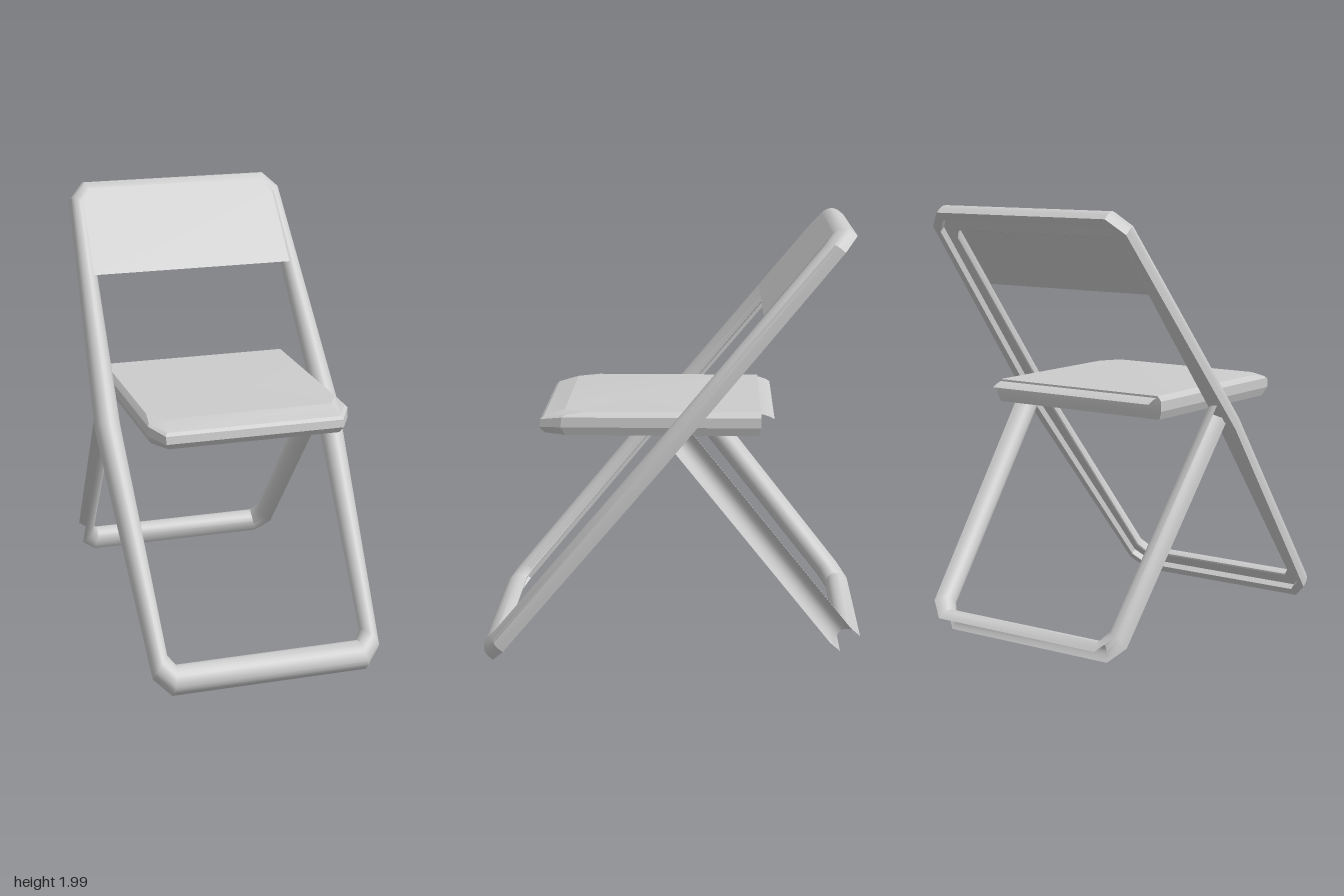
import * as THREE from 'three';
import { toCreasedNormals } from 'three/addons/utils/BufferGeometryUtils.js';

const material = new THREE.MeshStandardMaterial({ color: 0xcccccc, side: THREE.DoubleSide });

// Skin a list of cross-sections ([x, y, z] points) into a surface
function loft(name, rings, { closeRing = false, closePath = false, crease = 0.6 } = {}) {
  const n = rings[0].length, m = rings.length, index = [];
  for (let i = 0; i < (closePath ? m : m - 1); i++) {
    for (let j = 0; j < (closeRing ? n : n - 1); j++) {
      const k = (j + 1) % n, i2 = (i + 1) % m;
      const a = i * n + j, b = i * n + k, c = i2 * n + k, d = i2 * n + j;
      index.push(a, b, c, a, c, d);
    }
  }
  const g = new THREE.BufferGeometry();
  g.setAttribute('position', new THREE.Float32BufferAttribute(rings.flat(2), 3));
  g.setIndex(index);
  const mesh = new THREE.Mesh(toCreasedNormals(g, crease), material);
  mesh.name = name;
  return mesh;
}

// Extend a right-hand path with its mirror image
const mirrored = (half) => [...half, ...half.slice().reverse().map(([x, y]) => [-x, y])];

// Sweep a profile of [s, v] between an outer (s = 0) and inner (s = 1) path; v is depth
function sweep(outer, inner, profile) {
  return outer.map(([ox, oy], i) => profile.map(([s, v]) => [
    THREE.MathUtils.lerp(ox, inner[i][0], s),
    THREE.MathUtils.lerp(oy, inner[i][1], s),
    v,
  ]));
}

// Six-sided seat outline with clipped front corners
function seatRing(w, front, back, y, yFront = y) {
  return [
    [-w, y, back], [w, y, back], [w, y, front - 0.1],
    [w - 0.055, yFront, front], [-w + 0.055, yFront, front], [-w, y, front - 0.1],
  ];
}

export function createModel() {
  const model = new THREE.Group();
  model.name = 'foldingChair';

  // Main frame: slanted closed loop, rounded in front, stepped recess behind
  const mainFrame = new THREE.Group();
  mainFrame.name = 'mainFrame';
  mainFrame.position.set(0, 1.005, 0.04);
  mainFrame.rotation.x = -0.694;
  const mainOuter = mirrored([[0.46, 1.275], [0.53, 1.19], [0.595, 0], [0.53, -1.19], [0.455, -1.275]]);
  const mainInner = mirrored([[0.425, 1.145], [0.455, 1.1], [0.48, 0], [0.455, -1.1], [0.425, -1.145]]);
  const mainProfile = [[0.35, -0.043], [0, -0.043]];
  for (let i = 0; i <= 12; i++) {
    const a = (i / 12) * Math.PI;
    mainProfile.push([0.5 - 0.5 * Math.cos(a), -0.015 + 0.06 * Math.sin(a)]);
  }
  mainProfile.push([0.95, -0.02], [0.35, -0.012]);
  mainFrame.add(loft('frameTube', sweep(mainOuter, mainInner, mainProfile),
    { closeRing: true, closePath: true }));

  // Backrest: flat sheet over the upper frame
  const panel = new THREE.Shape(
    [[-0.49, 0.75], [0.49, 0.75], [0.48, 1.14], [0.44, 1.215], [-0.44, 1.215], [-0.48, 1.14]]
      .map(([x, y]) => new THREE.Vector2(x, y)));
  const backrest = new THREE.Mesh(new THREE.ShapeGeometry(panel), material);
  backrest.name = 'backrest';
  backrest.position.z = 0.046;
  mainFrame.add(backrest);
  model.add(mainFrame);

  // Rear leg: U-shaped channel, open to the outside
  const rearLeg = new THREE.Group();
  rearLeg.name = 'rearLeg';
  rearLeg.position.set(0, 1.06, -0.05);
  rearLeg.rotation.x = 0.668;
  const rearOuter = mirrored([[0.56, 0], [0.51, -1.16], [0.44, -1.24]]);
  const rearInner = mirrored([[0.485, 0], [0.45, -1.12], [0.42, -1.17]]);
  const rearProfile = [];
  for (let i = 0; i <= 14; i++) {
    const a = (i / 14) * Math.PI;
    rearProfile.push([Math.sin(a), 0.058 * Math.cos(a)]);
  }
  const rearRings = sweep(rearOuter, rearInner, rearProfile);
  rearLeg.add(loft('legChannel', rearRings));

  // End caps on top of both legs
  for (const ring of [rearRings[0], rearRings[rearRings.length - 1]]) {
    const middle = [ring[0][0], ring[0][1], 0];
    rearLeg.add(loft('legCap', [ring, ring.map(() => middle)]));
  }
  model.add(rearLeg);

  // Seat: shallow pan with bevelled top, skirt and hollow underside
  const seat = new THREE.Group();
  seat.name = 'seat';
  const centre = (y) => Array.from({ length: 6 }, () => [0, y, 0.05]);
  seat.add(loft('seatPan', [
    centre(1.168),
    seatRing(0.445, 0.48, -0.4, 1.168),
    seatRing(0.457, 0.575, -0.4, 1.155, 1.138),
    seatRing(0.465, 0.59, -0.4, 1.145, 1.125),
    seatRing(0.465, 0.595, -0.4, 1.1, 1.09),
    seatRing(0.45, 0.575, -0.39, 1.062),
    seatRing(0.405, 0.53, -0.36, 1.066),
    seatRing(0.405, 0.53, -0.36, 1.13),
    centre(1.13),
  ], { closeRing: true, crease: 0.3 }));

  // Curled lip along the rear edge
  seat.add(loft('seatRearLip',
    [[-0.38, 1.16], [-0.41, 1.158], [-0.44, 1.148], [-0.46, 1.137]]
      .map(([z, y]) => [[-0.44, y, z], [0.44, y, z]])));
  model.add(seat);

  return model;
}
